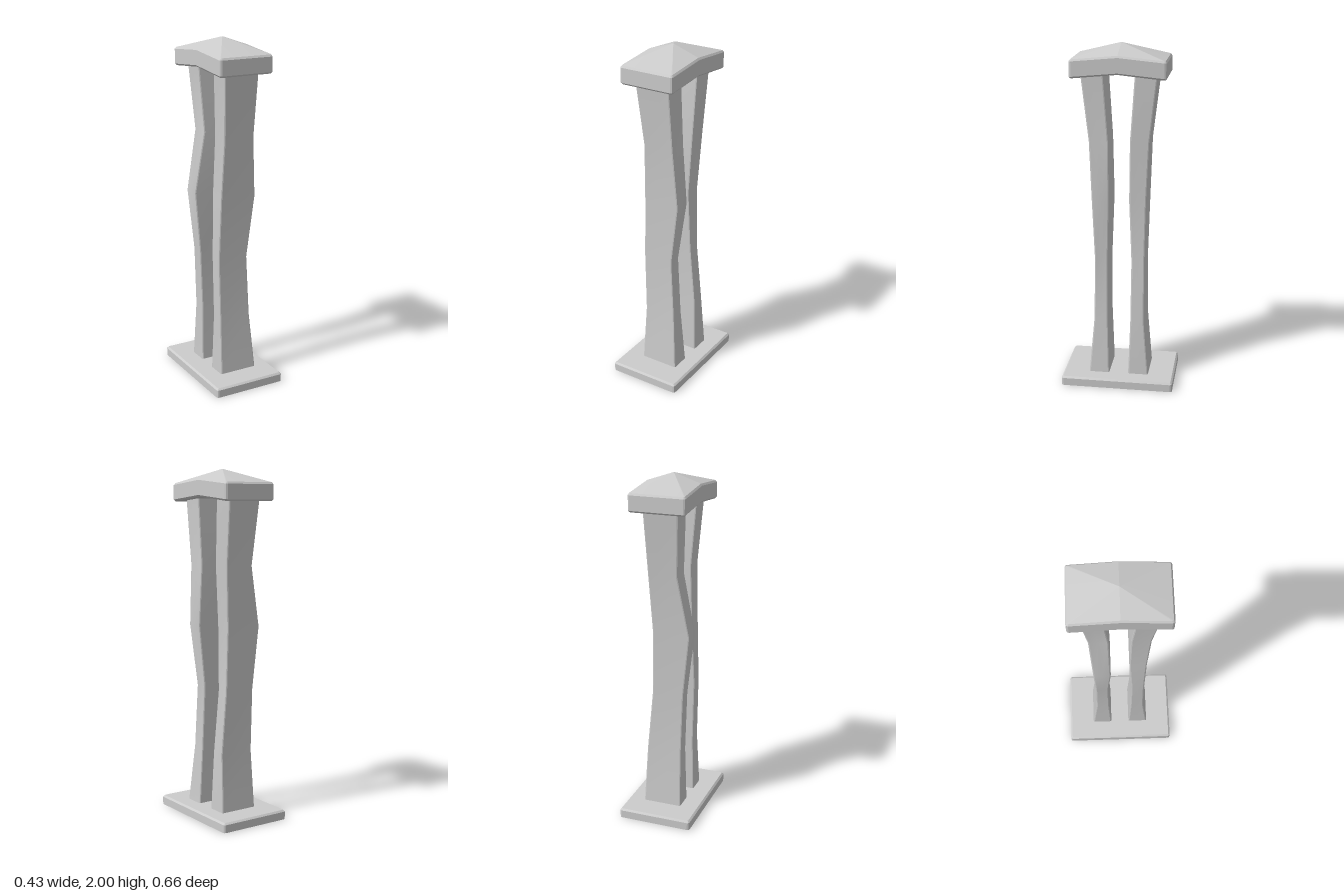
import * as THREE from 'three';
import { toCreasedNormals } from 'three/addons/utils/BufferGeometryUtils.js';

// Rectangle outline with rounded corners, counter-clockwise seen from above.
// A midpoint on each long side lets the outline rise there by "rise".
function ring(x0, x1, z0, z1, r, y, rise = 0) {
  const pts = [];
  const corners = [[x1 - r, z0 + r], [x0 + r, z0 + r], [x0 + r, z1 - r], [x1 - r, z1 - r]];
  const zm = (z0 + z1) / 2, hz = (z1 - z0) / 2;
  const add = (x, z) => pts.push([x, y + rise * (1 - Math.abs(z - zm) / hz), z]);
  corners.forEach(([cx, cz], k) => {
    if (k === 0) add(x1, zm);
    if (k === 2) add(x0, zm);
    for (let i = 0; i <= 2; i++) {
      const t = (k + i / 2) * Math.PI / 2;
      add(cx + r * Math.cos(t), cz - r * Math.sin(t));
    }
  });
  return pts;
}

// Skin stacked outlines; optional centre points close the two ends.
function loft(rings, bottom, top, crease) {
  const n = rings[0].length, pos = rings.flat(2), idx = [];
  for (let k = 0; k < rings.length - 1; k++) {
    for (let i = 0; i < n; i++) {
      const a = k * n + i, b = k * n + (i + 1) % n;
      idx.push(a, b, b + n, a, b + n, a + n);
    }
  }
  const fan = (centre, start, up) => {
    const c = pos.length / 3;
    pos.push(...centre);
    for (let i = 0; i < n; i++) {
      const a = start + i, b = start + (i + 1) % n;
      idx.push(c, up ? a : b, up ? b : a);
    }
  };
  if (bottom) fan(bottom, 0, false);
  if (top) fan(top, (rings.length - 1) * n, true);
  const g = new THREE.BufferGeometry();
  g.setAttribute('position', new THREE.Float32BufferAttribute(pos, 3));
  g.setIndex(idx);
  return toCreasedNormals(g, crease);
}

export function createModel() {
  const group = new THREE.Group();
  const grey = new THREE.MeshStandardMaterial({ color: 0xcccccc });
  const greyOpen = new THREE.MeshStandardMaterial({ color: 0xcccccc, side: THREE.DoubleSide });
  const add = (name, geometry, material = grey) => {
    const mesh = new THREE.Mesh(geometry, material);
    mesh.name = name;
    group.add(mesh);
  };
  const box = (hx, hz, r, y, rise) => ring(-hx, hx, -hz, hz, r, y, rise);

  // Base plate: bevelled on top, open underneath
  add('basePlate', loft([
    box(0.217, 0.328, 0.013, 0),
    box(0.217, 0.328, 0.013, 0.045),
    box(0.207, 0.318, 0.008, 0.055),
  ], null, [0, 0.055, 0], 0.3), greyOpen);

  // Crooked posts: height, inner z, outer z, then x range of front and back post
  const sections = [
    [0.045, 0.056, 0.176, [-0.106, 0.125], [-0.106, 0.122]],
    [0.39, 0.067, 0.148, [-0.098, 0.098], [-0.1, 0.11]],
    [0.75, 0.068, 0.145, [-0.106, 0.08], [-0.112, 0.077]],
    [1.11, 0.053, 0.152, [-0.095, 0.127], [-0.15, 0.07]],
    [1.46, 0.059, 0.17, [-0.083, 0.105], [-0.085, 0.09]],
    [1.86, 0.088, 0.216, [-0.107, 0.108], [-0.107, 0.102]],
  ];
  for (const side of [1, -1]) {
    const rings = sections.map(([y, zi, zo, front, back]) => {
      const [x0, x1] = side > 0 ? front : back;
      return ring(x0, x1, side > 0 ? zi : -zo, side > 0 ? zo : -zi, 0.008, y);
    });
    const z = side * 0.116;
    add(side > 0 ? 'frontPost' : 'backPost',
      loft(rings, [0, 0.045, z], [0, 1.86, side * 0.152], 0.3));
  }

  // Cap: arched along its long sides, pyramid roof above
  const rise = 0.025;
  add('cap', loft([
    box(0.155, 0.259, 0.008, 1.819, rise),
    box(0.164, 0.267, 0.013, 1.828, rise),
    box(0.164, 0.267, 0.013, 1.911, rise),
    box(0.156, 0.259, 0.008, 1.922, rise),
  ], [0, 1.844, 0], [0, 2, 0], 0.15));

  return group;
}
